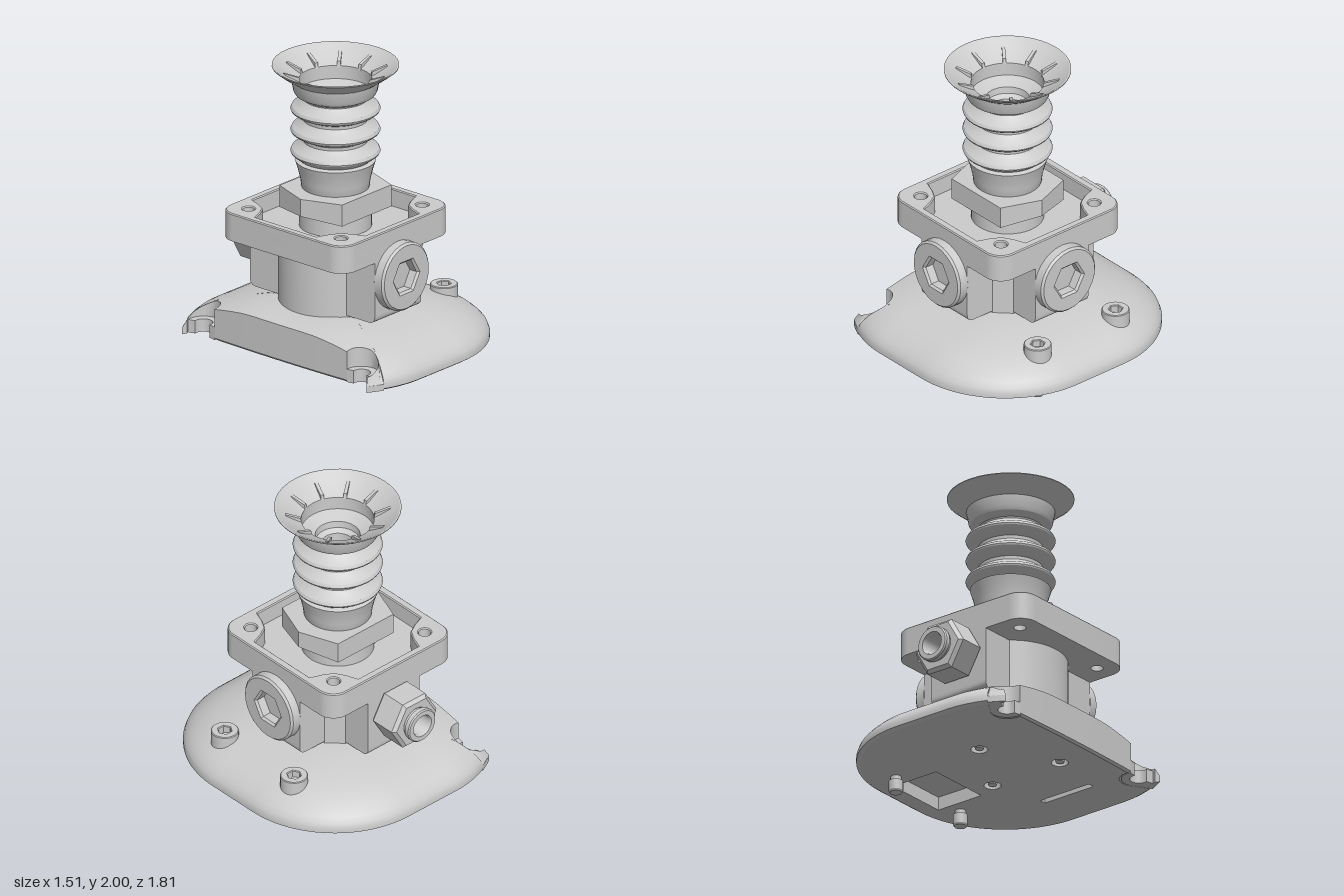
import * as THREE from 'three';
import { toCreasedNormals } from 'three/addons/utils/BufferGeometryUtils.js';
import { ConvexGeometry } from 'three/addons/geometries/ConvexGeometry.js';

const mat = new THREE.MeshStandardMaterial({ color: 0xcccccc });
const matInside = new THREE.MeshStandardMaterial({ color: 0xcccccc, side: THREE.BackSide });
const rad = THREE.MathUtils.degToRad;
const V = (x, y) => new THREE.Vector2(x, y);

function add(parent, name, geometry, material = mat) {
  const mesh = new THREE.Mesh(geometry, material);
  mesh.name = name;
  parent.add(mesh);
  return mesh;
}
const crease = (g, a = 0.5) => toCreasedNormals(g, a);
const lathe = (pts, seg = 36) => crease(new THREE.LatheGeometry(pts.map((p) => V(p[0], p[1])), seg));
const circle = (x, y, r) => new THREE.Path().absarc(x, y, r, 0, Math.PI * 2);
const hexagon = (r) => Array.from({ length: 6 }, (_, i) => V(r, 0).rotateAround(V(0, 0), (i * Math.PI) / 3));
const rect = (x0, x1, y0, y1) => new THREE.Path([V(x0, y0), V(x0, y1), V(x1, y1), V(x1, y0)]);

// Extrusion between two levels along z, with an optional bevel kept inside the outline
function prism(shape, from, to, bevel = 0) {
  const g = new THREE.ExtrudeGeometry(shape, {
    depth: to - from - 2 * bevel, bevelEnabled: bevel > 0, bevelThickness: bevel,
    bevelSize: bevel, bevelOffset: -bevel, bevelSegments: 1, curveSegments: 14,
  });
  return crease(g.translate(0, 0, from + bevel));
}
const upright = (g) => g.rotateX(-Math.PI / 2);

// Disc with a hexagon socket
function socketDisc(r, hexR, from, to, bevel) {
  const s = new THREE.Shape().absarc(0, 0, r, 0, Math.PI * 2);
  s.holes.push(new THREE.Path(hexagon(hexR)));
  return prism(s, from, to, bevel);
}

function roundedSquare(h, r) {
  const s = new THREE.Shape();
  const c = h - r;
  s.absarc(c, c, r, 0, Math.PI / 2);
  s.absarc(-c, c, r, Math.PI / 2, Math.PI);
  s.absarc(-c, -c, r, Math.PI, Math.PI * 1.5);
  s.absarc(c, -c, r, Math.PI * 1.5, Math.PI * 2);
  return s;
}

// Dome height by distance inside a rounded rectangle
const CX = 0.205, CZ = 0.195, CR = 0.71;
const slope = [[0, 0.155], [0.012, 0.188], [0.055, 0.237], [0.11, 0.272], [0.2, 0.318],
  [0.35, 0.358], [0.5, 0.39], [0.62, 0.402], [9, 0.402]];
function domeHeight(x, z) {
  const qx = Math.abs(x) - CX, qz = Math.abs(z) - CZ;
  const d = Math.max(0, CR - Math.hypot(Math.max(qx, 0), Math.max(qz, 0)) - Math.min(Math.max(qx, qz), 0));
  const i = slope.findIndex((p) => p[0] > d);
  const [d0, h0] = slope[i - 1], [d1, h1] = slope[i];
  return h0 + ((h1 - h0) * (d - d0)) / (d1 - d0);
}

function buildBase(root) {
  const base = new THREE.Group();
  base.name = 'base';
  root.add(base);
  const nx = -0.515, nz = 0.675, nr = 0.11;
  const s = new THREE.Shape();
  s.absarc(-CX, -CZ, CR, rad(-113.7), rad(-90));
  s.absarc(CX, -CZ, CR, rad(-90), 0);
  s.absarc(CX, CZ, CR, 0, rad(90));
  s.absarc(-CX, CZ, CR, rad(90), rad(113.7));
  s.absarc(nx, nz, nr, rad(45), rad(-100), true);
  s.quadraticCurveTo(-0.555, 0, nx + nr * Math.cos(rad(100)), -nz + nr * Math.sin(rad(100)));
  s.absarc(nx, -nz, nr, rad(100), rad(-45), true);
  const loop = s.getPoints(14);
  if (loop[0].distanceTo(loop[loop.length - 1]) < 1e-4) loop.pop();

  // Domed shell: lip rings, then rings shrinking to the middle
  const rings = [[0.975, 0.11], [1, 0.125]];
  for (const t of [1, 0.988, 0.96, 0.92, 0.86, 0.78, 0.66, 0.52, 0.35, 0.001]) rings.push([t, null]);
  const pos = [], idx = [], n = loop.length;
  rings.forEach(([t, y], k) => loop.forEach((p, i) => {
    const x = p.x * t, z = -p.y * t;
    pos.push(x, y ?? domeHeight(x, z), z);
    if (k === 0) return;
    const a = (k - 1) * n + i, b = (k - 1) * n + ((i + 1) % n);
    idx.push(a, b, b + n, a, b + n, a + n);
  }));
  const g = new THREE.BufferGeometry();
  g.setAttribute('position', new THREE.Float32BufferAttribute(pos, 3));
  g.setIndex(idx);
  add(base, 'baseDome', crease(g, 0.6));

  // Underside with a pocket, a slot and three sunk screws
  const under = new THREE.Shape(loop.map((p) => V(p.x * 0.975, p.y * 0.975)));
  under.holes.push(rect(0.43, 0.78, -0.23, 0.23), rect(-0.22, 0.18, 0.53, 0.575));
  for (let i = 0; i < 3; i++) {
    const p = V(0, -0.32).rotateAround(V(0, 0), (i * Math.PI * 2) / 3);
    under.holes.push(circle(p.x, p.y, 0.055));
    const screw = add(base, 'undersideScrew', lathe([[0, 0.113], [0.028, 0.115], [0.036, 0.15], [0.055, 0.15], [0.055, 0.11]], 24));
    screw.position.set(p.x, 0, p.y);
  }
  add(base, 'baseUnderside', new THREE.ShapeGeometry(under).rotateX(Math.PI / 2).translate(0, 0.11, 0));
  add(base, 'undersidePocket', new THREE.BoxGeometry(0.35, 0.09, 0.46).translate(0.605, 0.155, 0), matInside);
  add(base, 'undersideSlot', new THREE.BoxGeometry(0.4, 0.04, 0.045).translate(-0.02, 0.13, 0.5525), matInside);

  // Each mounting notch: a flat ledge and a hooked rim draped to the dome
  const ledge = new THREE.Shape();
  ledge.absarc(nx, nz, 0.06, rad(105), rad(-100), true);
  ledge.absarc(nx, nz, nr + 0.004, rad(-100), rad(105));
  const hook = new THREE.Shape();
  hook.absarc(-CX, CZ, CR, rad(113.7), rad(123.3));
  hook.absarc(nx, nz, nr, rad(118), rad(45), true);
  for (const side of [1, -1]) {
    const mirrored = (shape) => new THREE.Shape(shape.getPoints(10).map((p) => V(p.x, p.y * side)));
    add(base, 'notchLedge', upright(prism(mirrored(ledge), 0.112, 0.2)));
    const hg = new THREE.ExtrudeGeometry(mirrored(hook), { depth: 1, bevelEnabled: false });
    const p = hg.attributes.position;
    for (let i = 0; i < p.count; i++) {
      p.setZ(i, p.getZ(i) > 0.5 ? domeHeight(p.getX(i), p.getY(i)) : 0.112);
    }
    add(base, 'notchHook', upright(crease(hg)));
  }

  // Socket bolts passing through the base
  for (const z of [-0.33, 0.33]) {
    const bolt = new THREE.Group();
    bolt.name = 'baseBolt';
    bolt.position.set(0.68, 0, z);
    base.add(bolt);
    add(bolt, 'boltHead', upright(socketDisc(0.09, 0.045, 0.24, 0.38, 0.005)));
    add(bolt, 'boltTip', lathe([[0, 0], [0.04, 0], [0.047, 0.012], [0.047, 0.08], [0.035, 0.085], [0.035, 0.13]], 20));
  }
}

function buildBody(root) {
  const body = new THREE.Group();
  body.name = 'body';
  root.add(body);
  // Core: round at the left, chamfered corners at the right
  const core = new THREE.Shape([V(0.225, -0.32), V(0.32, -0.225), V(0.32, 0.225), V(0.225, 0.32)]);
  const a = Math.asin(0.32 / 0.37);
  core.absarc(0, 0, 0.37, Math.PI - a, Math.PI + a);
  add(body, 'bodyCore', upright(prism(core, 0.39, 0.84)));

  // Three port arms
  for (const [name, turn] of [['left', 0], ['front', -Math.PI / 2], ['back', Math.PI / 2]]) {
    const arm = new THREE.Group();
    arm.name = name + 'Port';
    arm.rotation.y = turn;
    body.add(arm);
    const s = new THREE.Shape();
    s.moveTo(0, 0.41).lineTo(0.48, 0.41).quadraticCurveTo(0.535, 0.41, 0.535, 0.465);
    s.lineTo(0.535, 0.84).lineTo(0, 0.84);
    add(arm, 'portArm', prism(s, -0.225, 0.225));
    if (name !== 'back') {
      add(arm, 'portPlug', socketDisc(0.23, 0.114, 0.519, 0.608, 0.014).rotateY(Math.PI / 2).translate(0, 0.69, 0));
      continue;
    }
    const hex = new THREE.Shape(hexagon(0.195));
    hex.holes.push(circle(0, 0, 0.085));
    add(arm, 'fittingNut', prism(hex, 0.53, 0.748, 0.022).rotateY(Math.PI / 2).translate(0, 0.69, 0));
    add(arm, 'fittingCollet', lathe([[0.1, 0.72], [0.1, 0.765], [0.118, 0.77], [0.118, 0.8], [0.11, 0.808],
      [0.078, 0.808], [0.07, 0.79], [0.07, 0.6], [0, 0.6]]).rotateZ(-Math.PI / 2).translate(0, 0.69, 0));
  }

  // Flange tray with a recess and four corner holes
  const plate = roundedSquare(0.535, 0.12), rim = roundedSquare(0.535, 0.12);
  const recess = [];
  const corner = [[0.48, 0.26], [0.4, 0.29], [0.33, 0.33], [0.29, 0.4], [0.26, 0.48]];
  for (let q = 0; q < 4; q++) {
    for (const [x, y] of corner) recess.push(V(x, y).rotateAround(V(0, 0), (q * Math.PI) / 2));
  }
  for (const x of [-0.395, 0.395]) for (const y of [-0.395, 0.395]) {
    plate.holes.push(circle(x, y, 0.04));
    rim.holes.push(circle(x, y, 0.04));
  }
  rim.holes.push(new THREE.Path(recess));
  add(body, 'flangePlate', upright(prism(plate, 0.83, 0.9)));
  add(body, 'flangeRim', upright(prism(rim, 0.892, 1.02, 0.007)));
}

function buildSuctionCup(root) {
  const cup = new THREE.Group();
  cup.name = 'suctionCup';
  root.add(cup);
  add(cup, 'neck', new THREE.CylinderGeometry(0.235, 0.235, 0.2, 36).translate(0, 0.95, 0));
  // Stretched hexagon nut, its two points chamfered below
  const nut = [];
  for (const [y, tip] of [[1.02, 0.255], [1.05, 0.34], [1.168, 0.34]]) {
    for (const sx of [-1, 1]) {
      nut.push(new THREE.Vector3(sx * tip, y, 0));
      for (const sz of [-1, 1]) nut.push(new THREE.Vector3(sx * 0.24, y, sz * 0.267));
    }
  }
  add(cup, 'hexNut', new ConvexGeometry(nut));

  // Bellows: body, three folds, flared lip, then the inside
  const profile = [[0.21, 1.15], [0.22, 1.17], [0.226, 1.22], [0.245, 1.3], [0.262, 1.352], [0.235, 1.362]];
  for (const y of [1.412, 1.558, 1.702]) {
    profile.push([0.262, y - 0.028], [0.286, y - 0.01], [0.29, y], [0.28, y + 0.02], [0.225, y + 0.05], [0.208, y + 0.07]);
    if (y < 1.7) profile.push([0.21, y + 0.092]);
  }
  profile.push([0.212, 1.782], [0.26, 1.808], [0.272, 1.83], [0.286, 1.905], [0.345, 1.945], [0.41, 1.995],
    [0.41, 2], [0.4, 2], [0.335, 1.957], [0.26, 1.912], [0.235, 1.9], [0.235, 1.81], [0.145, 1.775], [0.14, 1.73],
    [0.105, 1.71], [0.1, 1.6], [0.02, 1.58], [0.015, 1.5], [0, 1.5]);
  add(cup, 'bellows', lathe(profile, 40));

  // Radial ribs inside the lip
  const rib = new THREE.Shape([V(0.233, 1.892), V(0.26, 1.907), V(0.338, 1.954), V(0.34, 1.968), V(0.24, 1.93)]);
  for (let i = 0; i < 10; i++) {
    add(cup, 'lipRib', prism(rib, -0.011, 0.011)).rotation.y = (i * Math.PI) / 5;
  }
}

export function createModel() {
  const model = new THREE.Group();
  model.name = 'suctionGripper';
  const root = new THREE.Group();
  root.name = 'gripperAssembly';
  root.position.x = -0.165;
  model.add(root);
  buildBase(root);
  buildBody(root);
  buildSuctionCup(root);
  return model;
}
